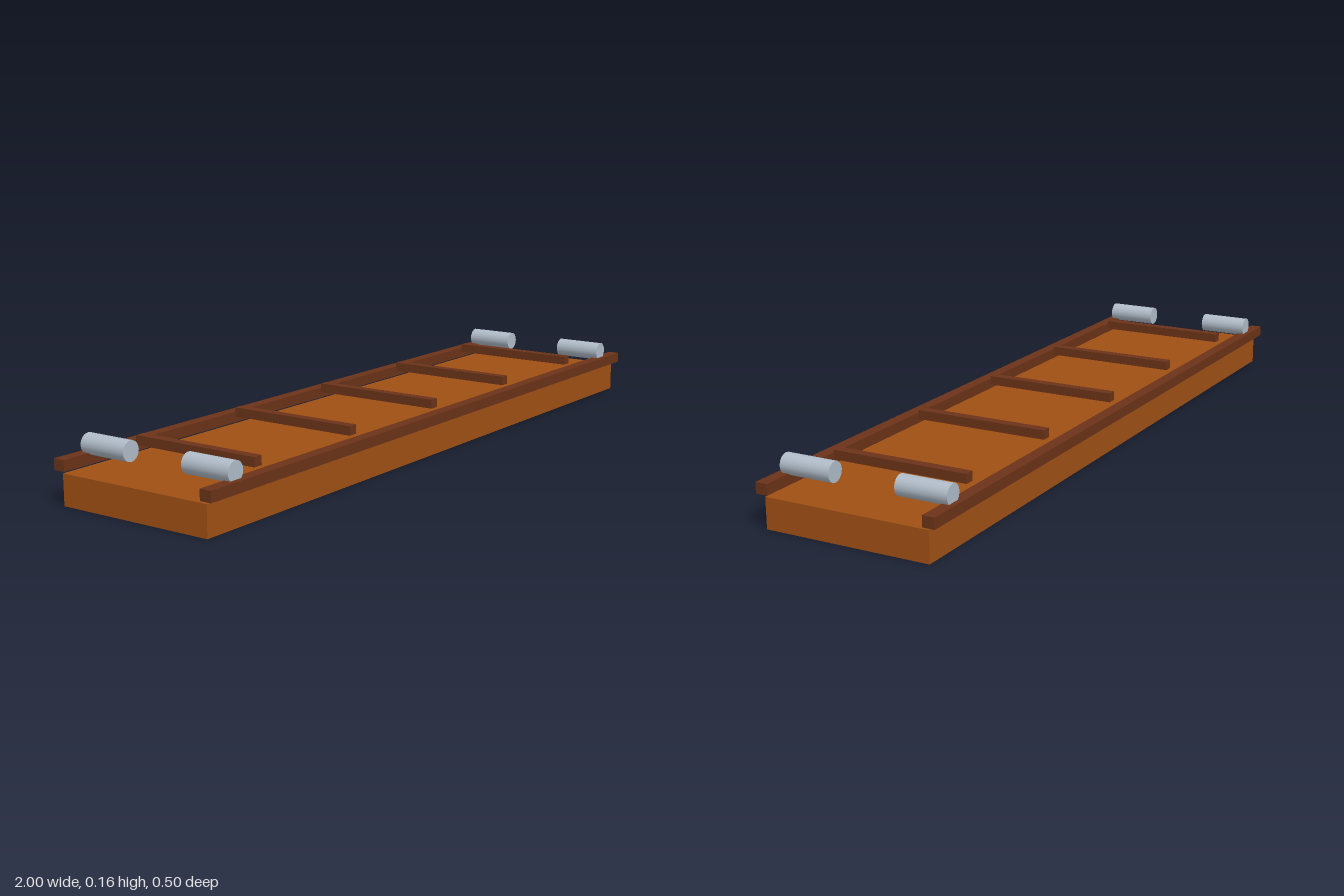
import * as THREE from 'three';

export function createModel() {
  const group = new THREE.Group();
  const wood = new THREE.MeshStandardMaterial({ color: 0xa05014 });
  const darkWood = new THREE.MeshStandardMaterial({ color: 0x6b3318 });
  const steel = new THREE.MeshStandardMaterial({ color: 0xb0bcc8 });

  const add = (name, geometry, material, x, y, z) => {
    const mesh = new THREE.Mesh(geometry, material);
    mesh.name = name;
    mesh.position.set(x, y, z);
    group.add(mesh);
    return mesh;
  };

  // Long plank
  add('deck', new THREE.BoxGeometry(1.984, 0.082, 0.455), wood, 0, 0.041, 0);

  // Rails floating just above the long edges
  const railGeometry = new THREE.BoxGeometry(2, 0.029, 0.033);
  for (const side of [1, -1]) {
    add(side > 0 ? 'frontRail' : 'backRail', railGeometry, darkWood, 0, 0.1035, side * 0.2315);
  }

  // Evenly spaced cross slats
  const slatGeometry = new THREE.BoxGeometry(0.027, 0.025, 0.38);
  for (let i = 0; i < 5; i++) {
    add('crossSlat' + (i + 1), slatGeometry, darkWood, -0.765 + i * 0.38, 0.1265, 0);
  }

  // A pair of rollers at each end, axes across the deck
  const rollerGeometry = new THREE.CylinderGeometry(0.027, 0.027, 0.142, 16).rotateX(Math.PI / 2);
  for (const x of [-0.898, 0.898]) {
    for (const z of [-0.163, 0.163]) {
      add((x > 0 ? 'left' : 'right') + (z > 0 ? 'Front' : 'Back') + 'Roller',
        rollerGeometry, steel, x, 0.137, z);
    }
  }

  return group;
}
